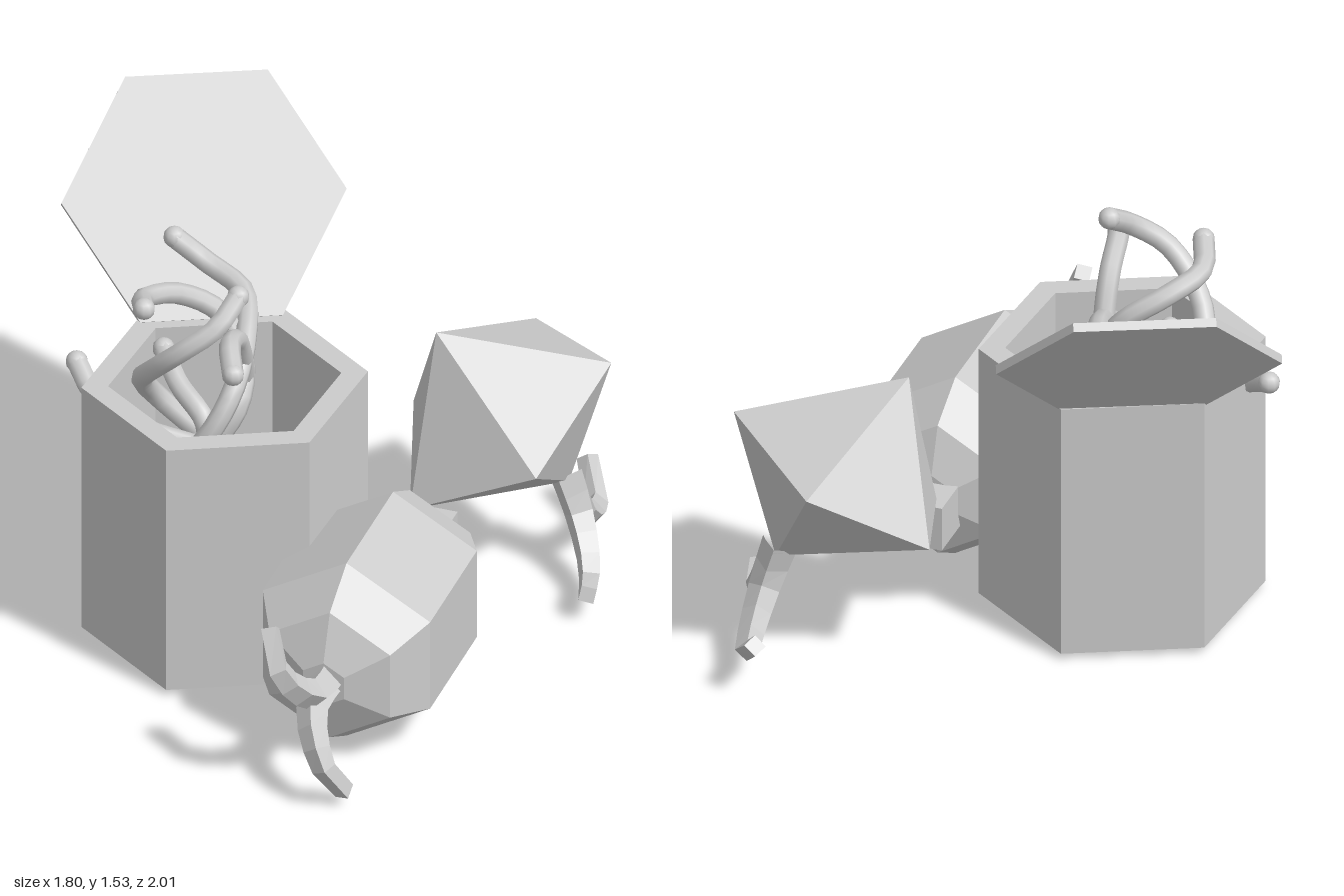
import * as THREE from 'three';
import { ConvexGeometry } from 'three/addons/geometries/ConvexGeometry.js';

const flat = new THREE.MeshStandardMaterial({ color: 0xcccccc, flatShading: true });
const smooth = new THREE.MeshStandardMaterial({ color: 0xcccccc });
const vec = (p) => new THREE.Vector3(...p);

function add(parent, name, geometry, material = flat) {
  const mesh = new THREE.Mesh(geometry, material);
  mesh.name = name;
  parent.add(mesh);
  return mesh;
}

// Six-sided solid of revolution from [radius, height] pairs
function hexLathe(profile, turn = 0) {
  return new THREE.LatheGeometry(profile.map((p) => new THREE.Vector2(...p)), 6, turn);
}

// Four-sided tapered limb with a flat tip
function limb(points, r0, r1) {
  const curve = new THREE.CatmullRomCurve3(points.map(vec));
  const segs = 7, sides = 4;
  const geo = new THREE.TubeGeometry(curve, segs, 1, sides);
  const pos = geo.attributes.position;
  const v = new THREE.Vector3();
  for (let i = 0; i <= segs; i++) {
    const from = curve.getPointAt(i / segs);
    const to = i >= segs - 1 ? curve.getPointAt(1) : from;
    const r = i === segs ? 0 : THREE.MathUtils.lerp(r0, r1, i / (segs - 1));
    for (let j = 0; j <= sides; j++) {
      const k = i * (sides + 1) + j;
      v.fromBufferAttribute(pos, k).sub(from).multiplyScalar(r).add(to);
      pos.setXYZ(k, v.x, v.y, v.z);
    }
  }
  geo.computeVertexNormals();
  return geo;
}

// Round tentacle with rounded ends
function tentacle(parent, points) {
  const group = new THREE.Group();
  group.name = 'tentacle';
  const curve = new THREE.CatmullRomCurve3(points.map(vec));
  add(group, 'tentacleBody', new THREE.TubeGeometry(curve, points.length * 3, 0.035, 8), smooth);
  for (const p of [points[0], points[points.length - 1]]) {
    add(group, 'tentacleEnd', new THREE.SphereGeometry(0.036, 10, 8), smooth).position.set(...p);
  }
  parent.add(group);
}

export function createModel() {
  const model = new THREE.Group();
  model.name = 'potWithCreatures';

  // Hollow hexagonal pot
  const pot = add(model, 'pot', hexLathe(
    [[0, 0.025], [0.458, 0.025], [0.458, 0.93], [0.373, 0.93], [0.373, 0.09], [0, 0.09]], -0.079));
  pot.position.set(-0.21, 0, 0.043);

  // Open lid, leaning back from the rim
  const hex = new THREE.Shape();
  for (let i = 0; i < 6; i++) {
    const a = (i * Math.PI) / 3;
    hex[i ? 'lineTo' : 'moveTo'](0.456 * Math.cos(a), 0.456 * Math.sin(a));
  }
  const lidGeo = new THREE.ExtrudeGeometry(hex, { depth: 0.03, bevelEnabled: false });
  lidGeo.translate(0, 0, -0.03);
  const lid = add(model, 'lid', lidGeo);
  const u = new THREE.Vector3(0.907, 0, -0.42).normalize();
  const n = u.clone().cross(new THREE.Vector3(-0.28, 0.76, -0.59)).normalize();
  const v = n.clone().cross(u);
  lid.quaternion.setFromRotationMatrix(new THREE.Matrix4().makeBasis(u, v, n));
  lid.position.set(-0.475, 1.232, -0.51);

  // Tentacles rising out of the pot
  const tentacles = new THREE.Group();
  tentacles.name = 'tentacles';
  model.add(tentacles);
  [
    [[-0.49, 1.22, -0.27], [-0.38, 1.14, -0.28], [-0.24, 1.1, -0.22], [-0.17, 1.05, -0.05],
      [-0.15, 0.97, 0.1], [-0.19, 0.85, 0.18], [-0.3, 0.68, 0.2]],
    [[-0.07, 1.17, 0.36], [-0.12, 1.2, 0.25], [-0.14, 1.14, 0.12], [-0.15, 1.02, 0.04],
      [-0.17, 0.9, -0.01], [-0.25, 0.68, -0.03]],
    [[-0.42, 1.26, 0.22], [-0.46, 1.22, 0.1], [-0.39, 1.18, -0.02], [-0.27, 1.1, -0.08],
      [-0.18, 0.97, -0.05], [-0.16, 0.85, 0.05], [-0.25, 0.68, 0.1]],
    [[-0.13, 1.32, 0.14], [-0.17, 1.25, 0.24], [-0.27, 1.17, 0.29], [-0.37, 1.07, 0.26],
      [-0.44, 0.97, 0.18], [-0.44, 0.84, 0.06], [-0.3, 0.68, 0]],
    [[-0.71, 0.89, 0.04], [-0.62, 0.83, 0.12], [-0.45, 0.76, 0.15], [-0.3, 0.7, 0.1]],
    [[-0.47, 0.9, -0.11], [-0.38, 0.85, 0], [-0.27, 0.78, 0.07], [-0.25, 0.66, 0.08]],
  ].forEach((path) => tentacle(tentacles, path));

  // Barrel creature lying along z
  const barrel = new THREE.Group();
  barrel.name = 'barrelCreature';
  barrel.position.set(0.373, 0.33, 0);
  model.add(barrel);
  const barrelGeo = hexLathe([[0, -0.13], [0.08, -0.13], [0.235, -0.075], [0.326, 0.085],
    [0.326, 0.53], [0.235, 0.69], [0.08, 0.75], [0, 0.75]]);
  add(barrel, 'barrelBody', barrelGeo.rotateX(Math.PI / 2));
  add(barrel, 'barrelTail', new THREE.BoxGeometry(0.18, 0.155, 0.2)).position.set(0.002, -0.023, -0.17);
  for (const turn of [0, Math.PI]) {
    const claw = add(barrel, 'barrelClaw', limb([[0, 0.01, 0.72], [0, 0.03, 0.86],
      [-0.05, 0.12, 0.95], [-0.095, 0.21, 0.96], [-0.125, 0.28, 0.905]], 0.06, 0.035));
    claw.rotation.z = turn;
  }

  // Tilted five-sided bipyramid creature
  const crystal = new THREE.Group();
  crystal.name = 'crystalCreature';
  model.add(crystal);
  add(crystal, 'crystalBody', new ConvexGeometry([
    [0.34, 0.945, -0.42], [0.71, 0.33, -0.64],
    [0.5, 0.73, -0.92], [0.86, 0.82, -0.62], [0.758, 0.62, -0.19],
    [0.32, 0.39, -0.225], [0.17, 0.49, -0.685]].map(vec)));
  add(crystal, 'crystalFrontClaw', limb([[0.7, 0.37, -0.63], [0.75, 0.23, -0.62],
    [0.81, 0.13, -0.54], [0.85, 0.075, -0.44], [0.875, 0.11, -0.35]], 0.06, 0.035));
  add(crystal, 'crystalBackClaw', limb([[0.7, 0.37, -0.63], [0.74, 0.23, -0.65],
    [0.74, 0.14, -0.76], [0.71, 0.11, -0.9], [0.65, 0.2, -0.985]], 0.06, 0.035));

  return model;
}
